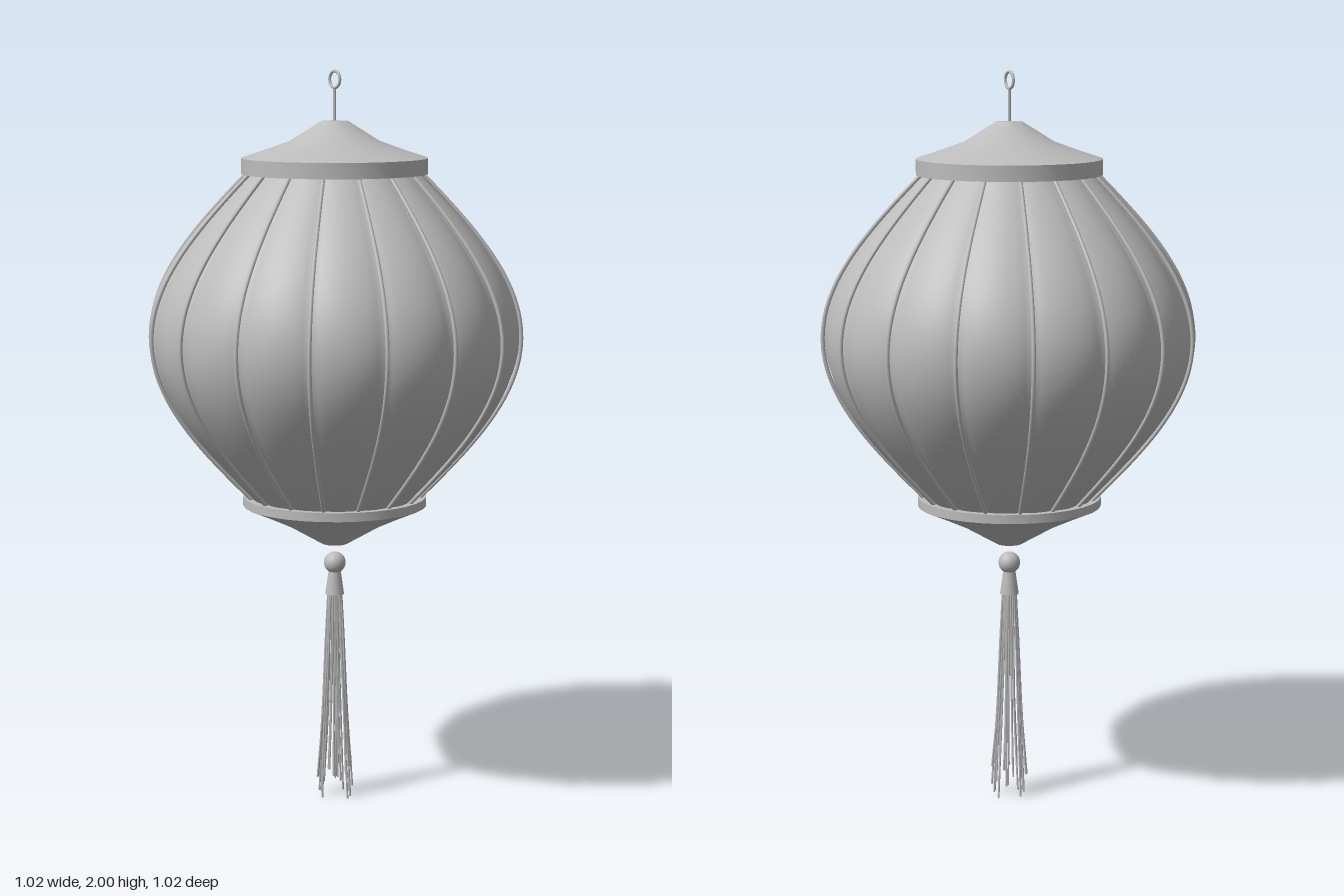
import * as THREE from 'three';
import { toCreasedNormals } from 'three/addons/utils/BufferGeometryUtils.js';

const LOBES = 16, BOTTOM = 0.84, TOP = 1.74;
// Radius of the paper body at height fraction t
const bodyRadius = (t) => 0.22 + 0.28 * Math.sin(Math.PI * t);

export function createModel() {
  const model = new THREE.Group();
  model.name = 'lantern';
  const grey = new THREE.MeshStandardMaterial({ color: 0xbcbcbc });
  grey.name = 'grey';
  const paper = new THREE.MeshStandardMaterial({ color: 0xbcbcbc, side: THREE.DoubleSide });
  paper.name = 'grey paper';

  const add = (name, geometry, parent = model, material = grey) => {
    const mesh = new THREE.Mesh(geometry, material);
    mesh.name = name;
    parent.add(mesh);
    return mesh;
  };
  const group = (name) => {
    const g = new THREE.Group();
    g.name = name;
    model.add(g);
    return g;
  };
  const v2 = (p) => new THREE.Vector2(p[0], p[1]);

  // Paper body: a lathe pinched inwards along each rib
  const profile = [];
  for (let i = 0; i <= 36; i++) {
    const t = i / 36;
    profile.push(new THREE.Vector2(bodyRadius(t), BOTTOM + (TOP - BOTTOM) * t));
  }
  const body = new THREE.LatheGeometry(profile, LOBES * 10);
  const pos = body.attributes.position;
  for (let i = 0; i < pos.count; i++) {
    const a = Math.atan2(pos.getX(i), pos.getZ(i));
    const bulge = Math.pow(Math.abs(Math.sin(a * LOBES / 2)), 0.7);
    const k = 0.972 + 0.03 * bulge;
    pos.setX(i, pos.getX(i) * k);
    pos.setZ(i, pos.getZ(i) * k);
  }
  body.computeVertexNormals();
  add('paperBody', body, model, paper);

  // Wire ribs along the pinches
  const ribs = group('ribs');
  const ribPath = new THREE.CatmullRomCurve3(
    profile.filter((_, i) => i % 3 === 0).map((p) => new THREE.Vector3(p.x + 0.003, p.y, 0)));
  const ribGeometry = new THREE.TubeGeometry(ribPath, 40, 0.0055, 8);
  for (let i = 0; i < LOBES; i++) {
    add('rib', ribGeometry, ribs).rotation.y = (i / LOBES) * Math.PI * 2;
  }

  // Caps with a flat rim and a flared cone
  const cap = (name, points) =>
    add(name, toCreasedNormals(new THREE.LatheGeometry(points.map(v2), 32), 0.5));
  cap('topCap', [[0, 1.725], [0.25, 1.725], [0.25, 1.767], [0.18, 1.79],
    [0.12, 1.812], [0.075, 1.84], [0.035, 1.865], [0, 1.866]]);
  cap('bottomCap', [[0, 0.716], [0.035, 0.717], [0.075, 0.74], [0.13, 0.772],
    [0.19, 0.8], [0.25, 0.826], [0.25, 0.85], [0, 0.85]]);

  // Hanging wire and ring
  add('hangingWire', new THREE.CylinderGeometry(0.004, 0.004, 0.09, 8)).position.y = 1.905;
  add('hangingRing', new THREE.TorusGeometry(0.022, 0.004, 8, 28)).position.y = 1.974;

  // Tassel: bead, collar and loose strands
  const tassel = group('tassel');
  add('bead', new THREE.SphereGeometry(0.03, 20, 14), tassel).position.y = 0.663;
  add('collar', new THREE.CylinderGeometry(0.016, 0.026, 0.07, 16), tassel).position.y = 0.61;
  let seed = 7;
  const rand = () => (seed = (seed * 16807) % 2147483647) / 2147483647;
  const strands = group('strands');
  const COUNT = 26;
  for (let i = 0; i < COUNT; i++) {
    const a = (i / COUNT) * Math.PI * 2 + (rand() - 0.5) * 0.2;
    const end = i % 6 === 0 ? 0.001 : 0.005 + rand() * 0.09;
    const r = 0.04 + rand() * 0.012;
    const at = (radius, y, turn = 0) =>
      new THREE.Vector3(Math.cos(a + turn) * radius, y, Math.sin(a + turn) * radius);
    const path = new THREE.CatmullRomCurve3([
      at(0.016, 0.62), at(0.025, 0.45, (rand() - 0.5) * 0.2),
      at(0.034, 0.25, (rand() - 0.5) * 0.2), at(r, end)]);
    add('strand', new THREE.TubeGeometry(path, 12, 0.0028, 5), strands);
  }
  return model;
}
